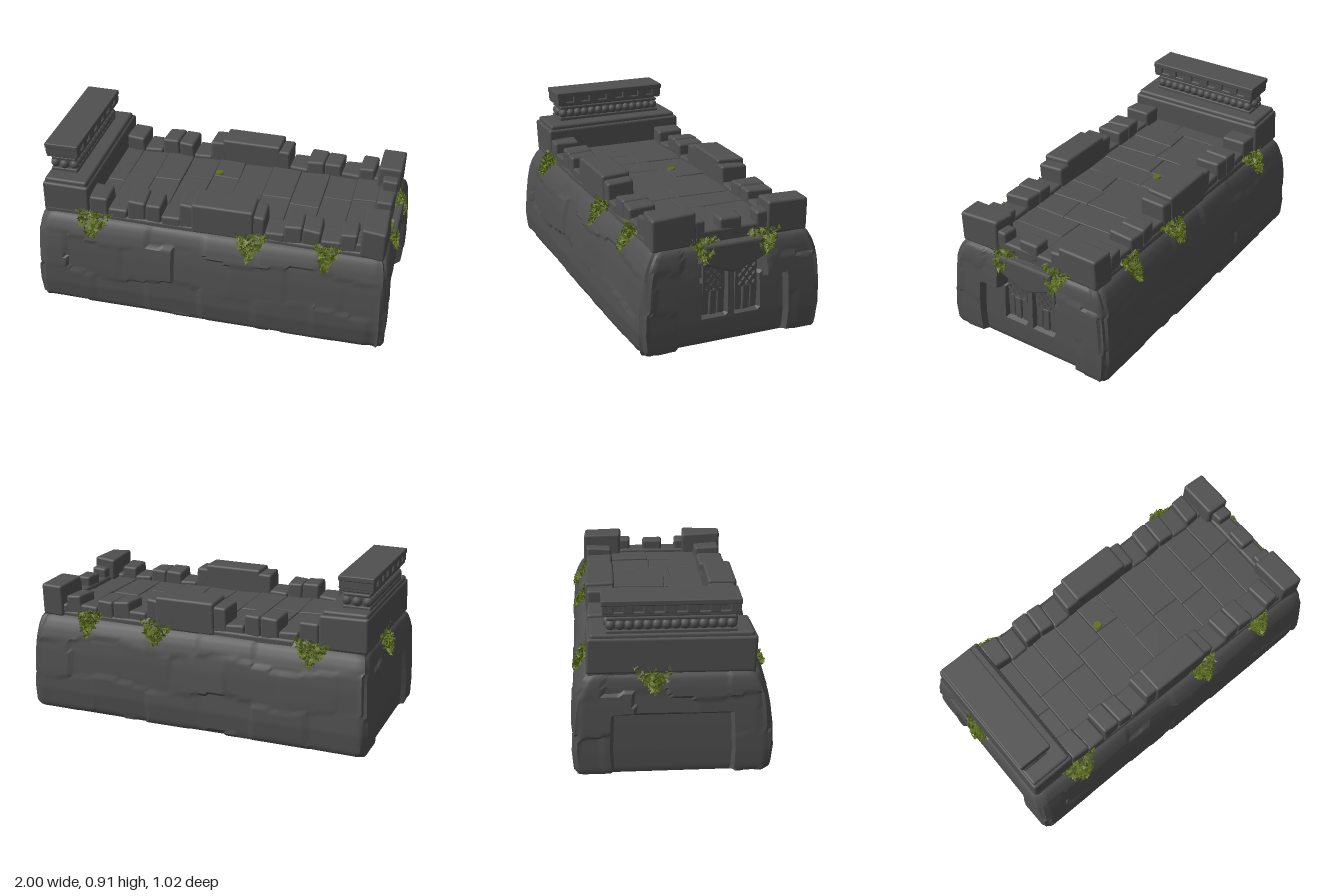
import * as THREE from 'three';
import { toCreasedNormals } from 'three/addons/utils/BufferGeometryUtils.js';
import { RoundedBoxGeometry } from 'three/addons/geometries/RoundedBoxGeometry.js';

const stone = new THREE.MeshStandardMaterial({ color: 0x505050 });
stone.name = 'grey stone';
const moss = new THREE.MeshStandardMaterial({ color: 0x5c6e1c, side: THREE.DoubleSide });
moss.name = 'moss green';

let seed = 7;
const rand = () => (seed = (seed * 16807) % 2147483647) / 2147483647;
const hash = (a, b, c) => {
  const s = Math.sin(a * 127.1 + b * 311.7 + c * 74.7) * 43758.5453;
  return s - Math.floor(s);
};

// Outline of the base: height, half length, half depth
const PROFILE = [
  [0, 0.975, 0.49], [0.02, 0.982, 0.503], [0.12, 0.984, 0.513], [0.25, 0.98, 0.506], [0.35, 0.975, 0.497],
  [0.42, 0.97, 0.485], [0.47, 0.966, 0.468], [0.51, 0.957, 0.447], [0.53, 0.945, 0.43], [0.54, 0.925, 0.41],
];
function profileAt(y, k) {
  for (let i = 1; i < PROFILE.length; i++) {
    const a = PROFILE[i - 1], b = PROFILE[i];
    if (y <= b[0]) return a[k] + (b[k] - a[k]) * Math.max(0, (y - a[0]) / (b[0] - a[0]));
  }
  return PROFILE[PROFILE.length - 1][k];
}

// Uneven big masonry: every block gets its own depth and tilt
function masonry(along, y, side) {
  const row = Math.floor((y + 0.02 * Math.sin(along * 9)) / 0.21);
  const s = (along + 5 + 0.15 * row) / 0.31;
  const col = Math.floor(s), u = s - col - 0.5, v = y / 0.21 - row - 0.5;
  const h = n => hash(col, row + side * 9, n) - 0.5;
  return -0.008 + 0.012 * h(1) + 0.02 * h(2) * u + 0.018 * h(3) * v;
}

// Recesses cut into the two ends
function recess(x, y, z) {
  const w = Math.abs(z);
  if (x < 0) return w < 0.3 && y < 0.32 ? 0.025 : 0;
  if (w > 0.02 && w < 0.16 && y > 0.14 && y < 0.43) return 0.07;
  return (w < 0.305 && y < 0.32) || (w < 0.18 && y < 0.47) ? 0.04 : 0;
}

function baseGeometry() {
  const r = 0.05, ring = [];
  for (let k = 0; k < 4; k++) {
    const corner = q => [[1, 1], [-1, 1], [-1, -1], [1, -1]][q % 4];
    const [ax, az] = corner(k), [bx, bz] = corner(k + 1);
    for (let i = 0; i <= 5; i++) {
      const a = (k + i / 5) * Math.PI / 2;
      ring.push([ax, az, Math.cos(a), Math.sin(a)]);
    }
    const n = k % 2 ? 56 : 110, a = (k + 1) * Math.PI / 2;
    for (let i = 1; i < n; i++) {
      const t = i / n;
      ring.push([ax + (bx - ax) * t, az + (bz - az) * t, Math.cos(a), Math.sin(a)]);
    }
  }
  const N = ring.length, rows = 36, pos = [], idx = [];
  for (let j = 0; j <= rows; j++) {
    const y = 0.54 * j / rows, hx = profileAt(y, 1), hz = profileAt(y, 2);
    for (const [sx, sz, nx, nz] of ring) {
      let x = sx * (hx - r) + nx * r, z = sz * (hz - r) + nz * r;
      const onEnd = Math.abs(nx) > 0.9, cut = onEnd ? recess(x, y, z) : 0;
      const d = cut ? -cut : masonry(onEnd ? z : x, y, onEnd ? 2 + nx : nz);
      pos.push(x + nx * d + 0.004, y, z + nz * d);
    }
  }
  for (let j = 0; j < rows; j++) for (let i = 0; i < N; i++) {
    const a = j * N + i, b = j * N + (i + 1) % N;
    idx.push(a, a + N, b, b, a + N, b + N);
  }
  const c = pos.length / 3, top = rows * N;
  pos.push(0, 0, 0, 0, 0.54, 0);
  for (let i = 0; i < N; i++) {
    const n = (i + 1) % N;
    idx.push(c, i, n, c + 1, top + n, top + i);
  }
  const g = new THREE.BufferGeometry();
  g.setAttribute('position', new THREE.Float32BufferAttribute(pos, 3));
  g.setIndex(idx);
  return toCreasedNormals(g, 0.6);
}

export function createModel() {
  const model = new THREE.Group();
  const add = (name, geo, mat = stone) => {
    const m = new THREE.Mesh(geo, mat);
    m.name = name;
    model.add(m);
    return m;
  };
  // Worn stone block given by its limits
  const block = (name, x0, x1, y0, y1, z0, z1, wear = 0.005, r = 0.014) => {
    const size = [x1 - x0, y1 - y0, z1 - z0];
    const g = new RoundedBoxGeometry(...size, 2, Math.min(r, Math.min(...size) * 0.4));
    g.translate((x0 + x1) / 2, (y0 + y1) / 2, (z0 + z1) / 2);
    const p = g.attributes.position;
    for (let i = 0; i < p.count; i++) {
      const x = p.getX(i), y = p.getY(i), z = p.getZ(i);
      p.setXYZ(i, x + wear * Math.sin(23 * z + 17 * y), y + wear * Math.sin(19 * x + 13 * z), z + wear * Math.sin(21 * x + 11 * y));
    }
    return add(name, g);
  };

  add('base', baseGeometry());
  block('platform', -0.93, 0.93, 0.5, 0.56, -0.415, 0.415, 0.003);

  // Door end: brow over the windows, lattices and planks
  const brow = new THREE.Shape();
  brow.moveTo(-0.17, 0.45);
  brow.quadraticCurveTo(-0.08, 0.41, 0, 0.385);
  brow.quadraticCurveTo(0.08, 0.41, 0.17, 0.45);
  brow.lineTo(0.15, 0.525);
  brow.lineTo(-0.15, 0.525);
  const endPlate = (name, shape, x, depth, bevel) => {
    const g = new THREE.ExtrudeGeometry(shape, { depth, bevelEnabled: bevel > 0, bevelSize: bevel, bevelThickness: bevel, bevelSegments: 2, curveSegments: 8 });
    add(name, g.rotateY(Math.PI / 2).translate(x, 0, 0));
  };
  endPlate('brow', brow, 0.9, 0.06, 0.012);
  for (const s of [-1, 1]) {
    const lattice = new THREE.Shape([[0.03, 0.27], [0.15, 0.27], [0.15, 0.43], [0.03, 0.43]].map(([x, y]) => new THREE.Vector2(s * x, y)));
    for (let j = 0; j < 6; j++) for (let i = 0; i < (j % 2 ? 2 : 3); i++) {
      const x = s * (0.052 + 0.038 * i + (j % 2 ? 0.019 : 0)), y = 0.294 + 0.023 * j, a = 0.014, b = 0.017;
      lattice.holes.push(new THREE.Path([[x - a, y], [x, y + b], [x + a, y], [x, y - b]].map(q => new THREE.Vector2(...q))));
    }
    endPlate('lattice', lattice, 0.912, 0.015, 0);
    for (let i = 0; i < 3; i++) {
      const z = s * (0.048 + 0.044 * i);
      block('doorPlank', 0.89, 0.925 + 0.004 * (i % 2), 0.145, 0.28, z - 0.02, z + 0.02, 0.002, 0.006);
    }
  }

  // Floor slabs
  for (let x = -0.69; x < 0.8;) {
    const w = Math.min(0.11 + 0.06 * rand(), 0.83 - x), cut = -0.1 + 0.2 * rand();
    for (const [z0, z1] of [[-0.27, cut], [cut, 0.27]])
      block('floorSlab', x, x + w, 0.54, 0.572 + 0.012 * rand(), z0, z1, 0.003, 0.006);
    x += w;
  }

  // Side parapets: start, end and top of each stone
  const merlons = [
    [-0.68, -0.57, 0.66], [-0.57, -0.46, 0.6], [-0.46, -0.36, 0.665], [-0.36, -0.27, 0.66], [-0.27, -0.16, 0.6],
    [-0.17, -0.08, 0.69], [-0.1, 0.24, 0.71], [0.22, 0.3, 0.685], [0.3, 0.41, 0.6], [0.4, 0.5, 0.65],
    [0.5, 0.6, 0.645], [0.6, 0.71, 0.6], [0.7, 0.79, 0.65], [0.78, 0.84, 0.6],
  ];
  for (const s of [-1, 1]) for (const [x0, x1, top] of merlons) {
    const out = top > 0.7 ? 0.42 : 0.41;
    block('parapetStone', x0, x1, 0.53, top, s > 0 ? 0.26 : -out, s > 0 ? out : -0.26, 0.004);
  }

  // Corner towers and the low wall between them
  block('cornerTower', 0.81, 0.94, 0.53, 0.703, 0.19, 0.425);
  block('cornerTower', 0.81, 0.94, 0.53, 0.705, -0.425, -0.2);
  block('endWall', 0.83, 0.93, 0.53, 0.6, -0.2, 0.2, 0.003);
  for (const [z0, z1, top] of [[0.14, 0.2, 0.655], [-0.06, 0.06, 0.655], [-0.21, -0.14, 0.66]])
    block('endMerlon', 0.84, 0.93, 0.56, top, z0, z1, 0.003);

  // Head block with its lid
  block('headBlock', -0.94, -0.68, 0.53, 0.715, -0.42, 0.415);
  block('headLid', -0.93, -0.69, 0.69, 0.738, -0.405, 0.4, 0.003);

  // Carved crossbeam: neck, knobs, plates and dentils
  const beam = (name, inset, y0, y1) =>
    block(name, -0.94 + inset, -0.75 - inset, y0, y1, -0.345 + inset, 0.335 - inset, 0.001, 0.006);
  beam('beamFoot', 0.02, 0.728, 0.755);
  beam('beamNeck', 0.035, 0.73, 0.84);
  beam('beamCollar', 0.025, 0.803, 0.82);
  beam('beamLowerPlate', 0.006, 0.83, 0.852);
  beam('beamCore', 0.018, 0.845, 0.9);
  beam('beamCap', 0, 0.884, 0.913);
  const knob = new THREE.SphereGeometry(0.027, 10, 8);
  for (let i = 0; i < 14; i++) for (const x of [-0.9, -0.79])
    add('knob', knob).position.set(x, 0.778, -0.3 + 0.59 * i / 13);
  for (const x of [-0.845])
    for (const z of [-0.31, 0.3]) add('knob', knob).position.set(x, 0.778, z);
  for (const [z0, z1] of [[-0.34, -0.285], [-0.24, -0.19], [-0.14, -0.09], [-0.04, 0.02], [0.07, 0.13], [0.18, 0.23], [0.28, 0.33]])
    block('dentil', -0.937, -0.753, 0.845, 0.89, z0, z1, 0.001, 0.004);

  // Moss: small leaves hanging over the rim
  const mossTuft = (centre, nx, nz, half) => {
    const pos = [];
    for (let i = 0; i < 420; i++) {
      const u = half * (rand() + rand() - 1), drop = 0.125 * (1 - Math.abs(u) / half) * rand();
      const y = 0.568 - drop, edge = profileAt(y, nx ? 1 : 2);
      const out = edge + 0.016 * rand() - (y > 0.54 ? 0.012 * rand() : 0);
      const c = nx ? [nx * out, y, centre + u] : [centre + u, y, nz * out];
      for (let k = 0; k < 3; k++) pos.push(...c.map(v => v + (rand() - 0.5) * 0.036));
    }
    const g = new THREE.BufferGeometry();
    g.setAttribute('position', new THREE.Float32BufferAttribute(pos, 3));
    g.computeVertexNormals();
    add('mossTuft', g, moss);
  };
  for (const s of [-1, 1])
    for (const [x, half] of [[-0.65, 0.11], [0.23, 0.1], [0.64, 0.075]]) mossTuft(x, 0, s, half);
  mossTuft(0.16, 1, 0, 0.085);
  mossTuft(-0.175, 1, 0, 0.09);
  mossTuft(-0.09, -1, 0, 0.11);
  add('mossPatch', new THREE.CylinderGeometry(0.022, 0.024, 0.008, 9), moss).position.set(-0.08, 0.585, -0.12);

  return model;
}
